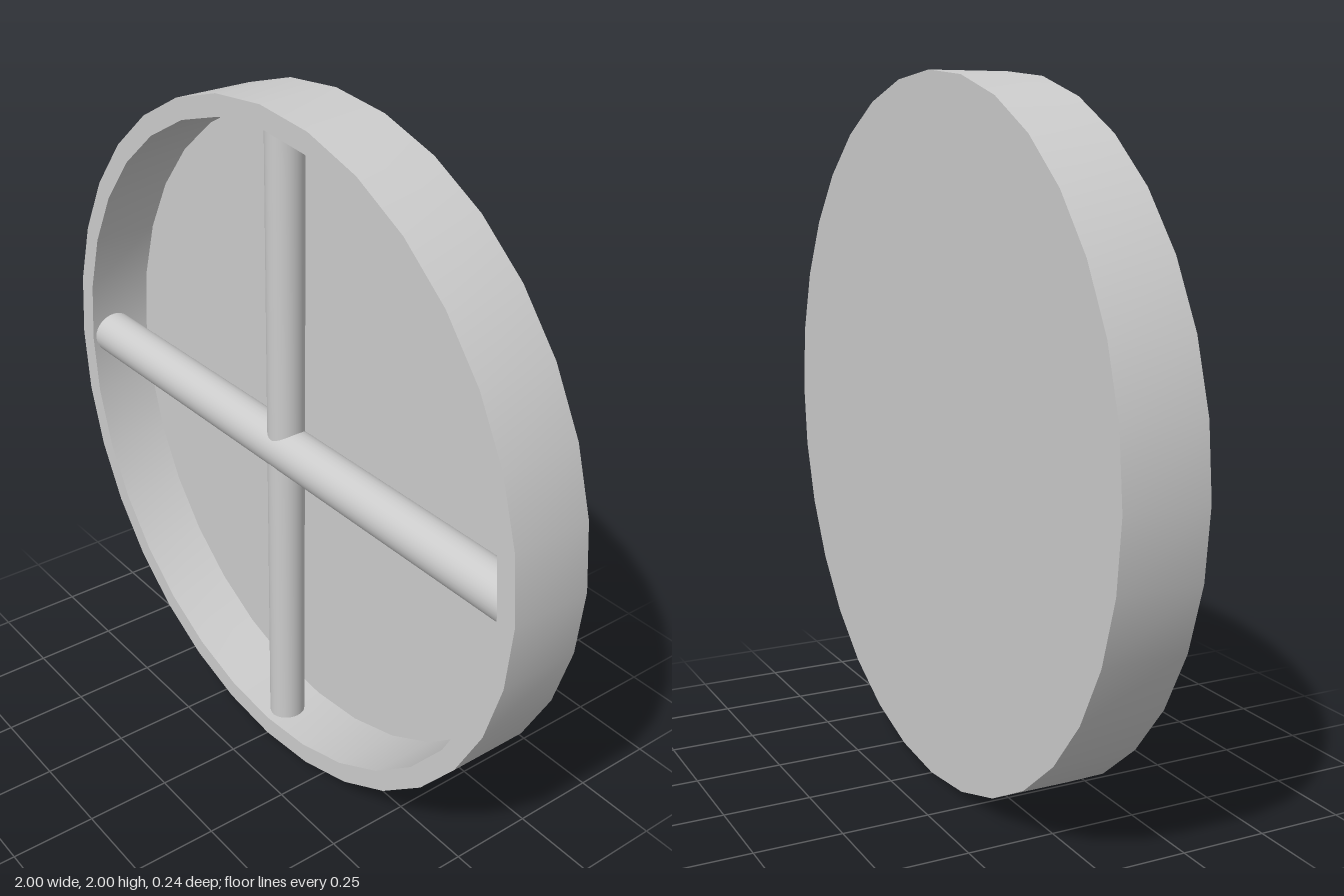
import * as THREE from 'three';
import { toCreasedNormals } from 'three/addons/utils/BufferGeometryUtils.js';

const material = new THREE.MeshStandardMaterial({ color: 0xcccccc });

export function createModel() {
  const group = new THREE.Group();
  const add = (name, geometry, z = 0) => {
    const mesh = new THREE.Mesh(geometry, material);
    mesh.name = name;
    mesh.position.set(0, 1, z);
    group.add(mesh);
    return mesh;
  };

  // Shallow round pan: closed back, raised rim, open to the front
  const profile = [
    [0, -0.12], [1, -0.12], [1, 0.12], [0.94, 0.12], [0.94, -0.08], [0, -0.08],
  ].map(([r, h]) => new THREE.Vector2(r, h));
  const pan = new THREE.LatheGeometry(profile, 32).rotateX(Math.PI / 2);
  add('pan', toCreasedNormals(pan, Math.PI / 6));

  // Crossed round bars, their ends sunk into the rim
  const barZ = 0.043;
  const bar = (radius) => new THREE.CylinderGeometry(radius, radius, 1.92, 32);
  add('verticalBar', bar(0.053), barZ);
  add('horizontalBar', bar(0.067), barZ).rotation.z = Math.PI / 2;

  return group;
}
